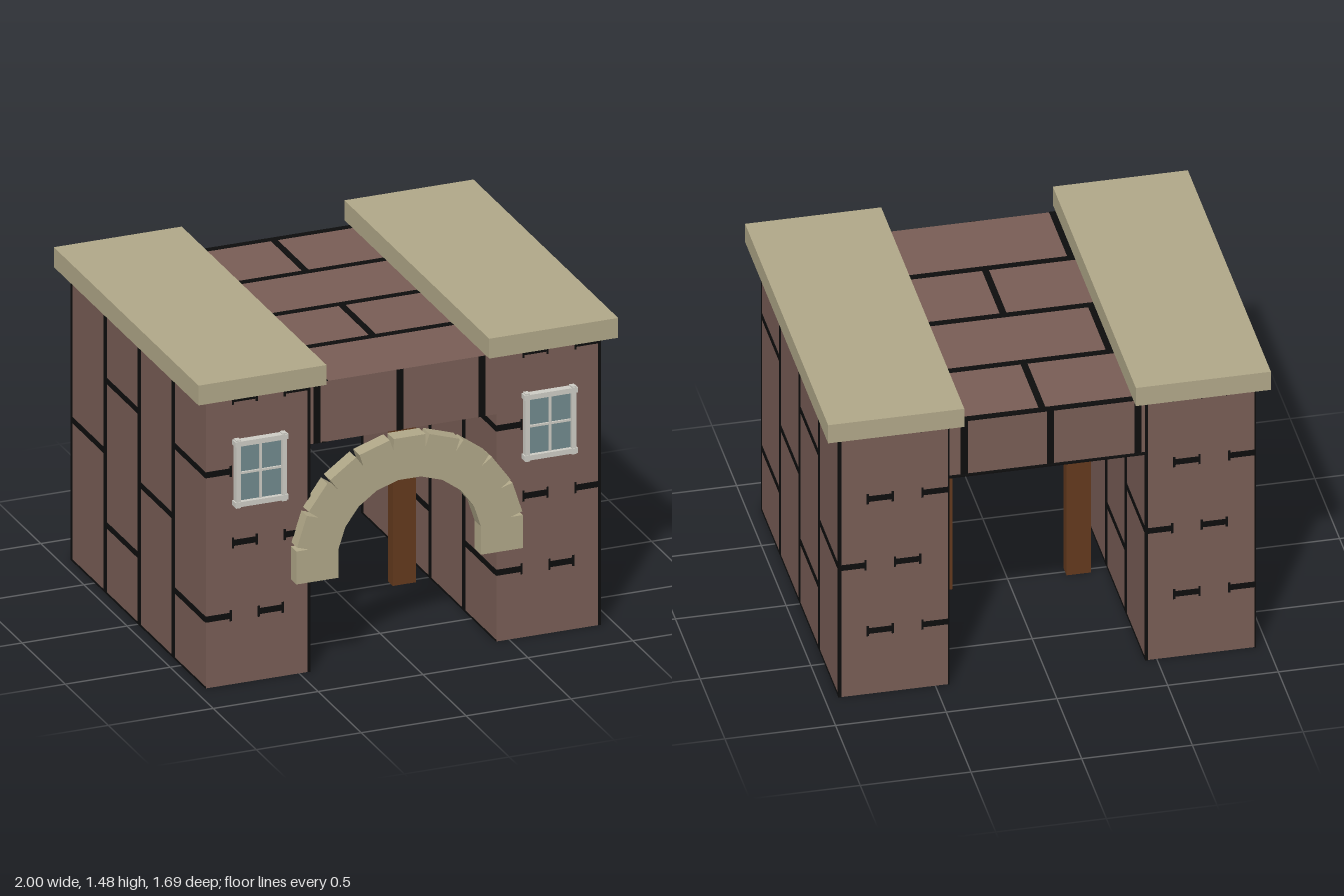
import * as THREE from 'three';

const mat = (name, color) => {
  const m = new THREE.MeshStandardMaterial({ color });
  m.name = name;
  return m;
};

export function createModel() {
  const brick = mat('brick', 0x785d55);
  const mortar = mat('mortar', 0x0d0d0d);
  const stone = mat('stone', 0xb0a788);
  const wood = mat('wood', 0x63391d);
  const glass = mat('glass', 0x71898d);
  const frame = mat('windowFrame', 0xcdccc4);

  const root = new THREE.Group();
  root.name = 'gatehouse';

  // Box given by its extents on each axis
  const box = (parent, name, m, [x0, x1], [y0, y1], [z0, z1]) => {
    const mesh = new THREE.Mesh(new THREE.BoxGeometry(x1 - x0, y1 - y0, z1 - z0), m);
    mesh.position.set((x0 + x1) / 2, (y0 + y1) / 2, (z0 + z1) / 2);
    mesh.name = name;
    parent.add(mesh);
    return mesh;
  };
  const around = (c, half) => [c - half, c + half];
  const group = (name) => {
    const g = new THREE.Group();
    g.name = name;
    root.add(g);
    return g;
  };

  const T = 0.003;      // mortar proud of the brick
  const H = 1.38;       // wall height
  const Z = 0.78;       // half depth
  const joints = [0.405, 0.012, -0.382];
  const odd = [0.33, 1.022], even = [0.677, 1.366];

  // Side walls with mortar joints
  const wall = (name, x0, x1) => {
    const g = group(name);
    box(g, 'brickWall', brick, [x0, x1], [0, H], [-Z, Z]);

    // long faces: four upright courses with staggered cross joints
    const edges = [Z, ...joints, -Z];
    for (const x of [x0, x1]) {
      const xr = around(x, T);
      for (const z of joints) box(g, 'uprightJoint', mortar, xr, [0, H], around(z, 0.015));
      box(g, 'edgeJoint', mortar, xr, [0, H], [-Z - T, -0.765]);
      box(g, 'footJoint', mortar, xr, [0, 0.008], [-Z, Z]);
      for (let i = 0; i < 4; i++) {
        for (const y of i % 2 ? even : odd) {
          box(g, 'crossJoint', mortar, xr, around(y, 0.014), [edges[i + 1], edges[i]]);
        }
      }
    }

    // narrow faces: short joints with flared ends
    const w = (x1 - x0) / 4;
    for (const z of [-Z, Z]) {
      const zr = around(z, T);
      for (let i = 0; i < 4; i++) {
        const a = x0 + i * w, b = a + w;
        for (const y of i % 2 ? even : odd) {
          box(g, 'shortJoint', mortar, [a, b], around(y, 0.014), zr);
          if (i > 0) box(g, 'jointEnd', mortar, [a, a + 0.01], [y - 0.026, Math.min(y + 0.026, H)], zr);
          if (i < 3) box(g, 'jointEnd', mortar, [b - 0.01, b], [y - 0.026, Math.min(y + 0.026, H)], zr);
        }
      }
      box(g, 'cornerJoint', mortar, [x1 - 0.01, x1 + T], [0, H], zr);
    }
  };
  wall('rightWall', -0.945, -0.45);
  wall('leftWall', 0.44, 0.935);

  // Bridge over the passage
  const bridge = group('bridge');
  const bx = [-0.45, 0.44], by = [1.09, H];
  box(bridge, 'brickBridge', brick, bx, by, [-Z, Z]);
  for (const z of [-Z, Z]) {
    for (const x of [-0.415, -0.02, 0.37]) {
      box(bridge, 'uprightJoint', mortar, around(x, 0.016), by, around(z, T));
    }
  }
  const rows = [-Z, -0.385, 0.005, 0.395, Z];
  for (const y of by) {
    const yr = around(y, T);
    box(bridge, 'edgeJoint', mortar, bx, yr, [-0.795, -0.765]);
    for (let i = 0; i < 4; i++) {
      if (i) box(bridge, 'courseJoint', mortar, bx, yr, around(rows[i], 0.016));
      for (const x of i % 2 ? [-0.377] : [0.015]) {
        box(bridge, 'crossJoint', mortar, around(x, 0.015), yr, [rows[i], rows[i + 1]]);
      }
    }
  }

  // Flat stone caps
  box(root, 'rightCap', stone, [-1, -0.39], [1.385, 1.48], [-0.85, 0.83]);
  box(root, 'leftCap', stone, [0.385, 1], [1.385, 1.48], [-0.85, 0.83]);

  // Stone arch: faceted ring with a wedge notch at every outer joint
  const R = 0.547, r = 0.344, cy = 0.54, footY = 0.458;
  const polar = (rad, deg) => {
    const a = THREE.MathUtils.degToRad(deg);
    return new THREE.Vector2(rad * Math.cos(a), cy + rad * Math.sin(a));
  };
  const outline = [new THREE.Vector2(0.54, footY)];
  for (let d = 9; d <= 171; d += 18) {
    outline.push(polar(R - 0.002, d - 1), polar(R - 0.06, d), polar(R - 0.002, d + 1));
  }
  outline.push(new THREE.Vector2(-0.54, footY), new THREE.Vector2(-0.34, footY));
  for (let d = 171; d >= 9; d -= 18) outline.push(polar(r, d));
  outline.push(new THREE.Vector2(0.34, footY));
  const arch = new THREE.Mesh(
    new THREE.ExtrudeGeometry(new THREE.Shape(outline), { depth: 0.075, bevelEnabled: false }),
    stone
  );
  arch.name = 'arch';
  arch.position.z = 0.77;
  root.add(arch);

  // Windows with crossed frame bars
  const win = (name, cx) => {
    const g = group(name), y = 1.015;
    box(g, 'pane', glass, around(cx, 0.11), around(y, 0.145), [0.787, 0.795]);
    for (const s of [-1, 1]) {
      box(g, 'frameUpright', frame, around(cx + s * 0.11, 0.011), around(y, 0.163), [0.782, 0.812]);
      box(g, 'frameRail', frame, around(cx, 0.127), around(y + s * 0.145, 0.012), [0.78, 0.815]);
    }
    box(g, 'glazingUpright', frame, around(cx, 0.005), around(y, 0.145), [0.79, 0.803]);
    box(g, 'glazingRail', frame, around(cx, 0.11), around(y, 0.005), [0.79, 0.803]);
  };
  win('rightWindow', -0.692);
  win('leftWindow', 0.687);

  // Timber posts inside the passage
  box(root, 'rightPost', wood, [-0.37, -0.26], [0, 0.79], [-0.03, 0.03]);
  box(root, 'leftPost', wood, [0.255, 0.365], [0, 0.79], [-0.03, 0.03]);

  return root;
}
